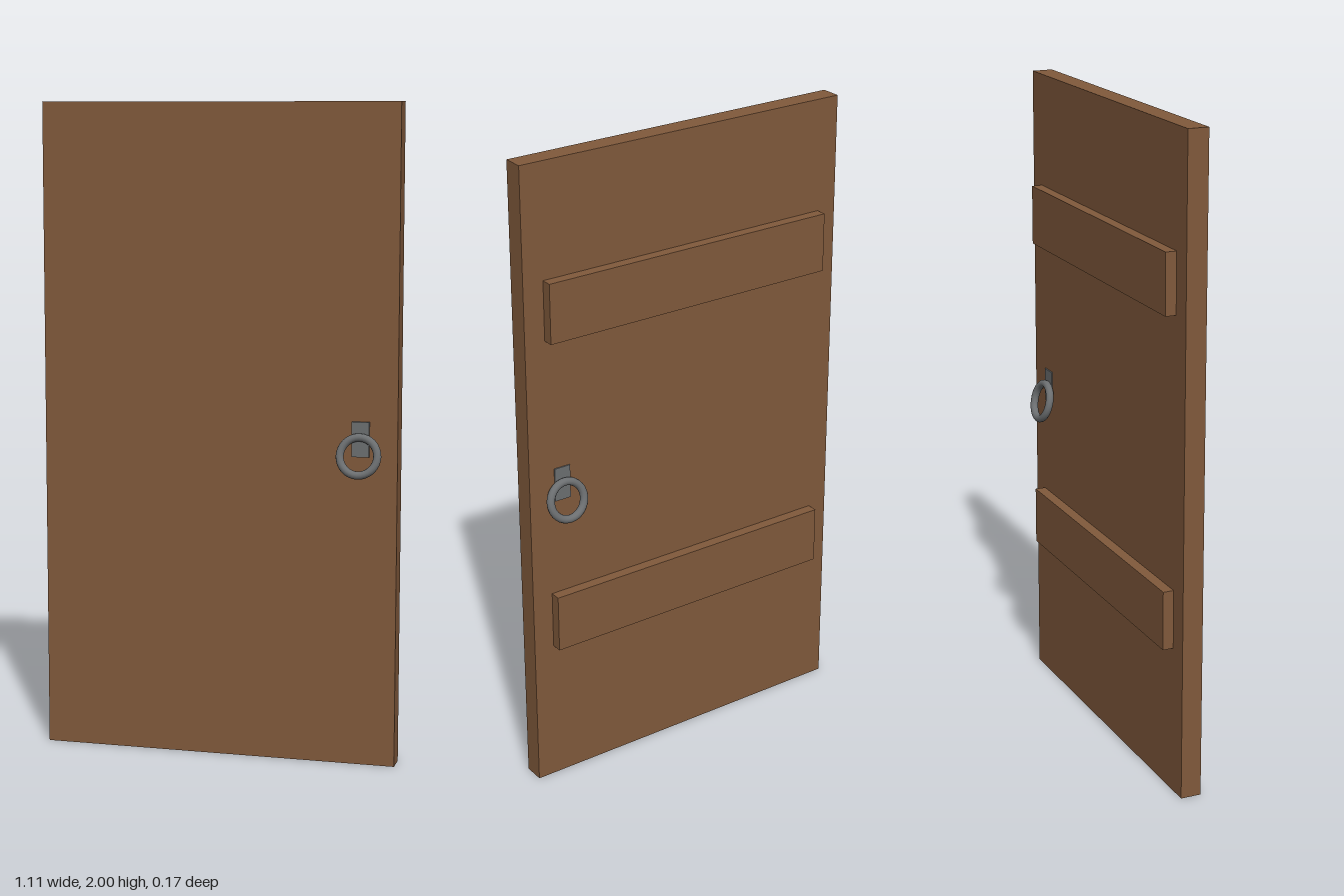
import * as THREE from 'three';

const wood = new THREE.MeshStandardMaterial({ name: 'brown wood', color: 0x80593b });
const iron = new THREE.MeshStandardMaterial({ name: 'grey iron', color: 0x6c6f71 });

// Box given by its minimum and maximum corners
function box(name, material, min, max) {
  const size = max.map((v, i) => v - min[i]);
  const mesh = new THREE.Mesh(new THREE.BoxGeometry(...size), material);
  mesh.position.set(...max.map((v, i) => (v + min[i]) / 2));
  mesh.name = name;
  return mesh;
}

export function createModel() {
  const door = new THREE.Group();
  door.name = 'door';

  const front = 0.029, back = -0.035;
  door.add(box('doorPanel', wood, [-0.553, 0, back], [0.553, 2, front]));

  // Horizontal battens on the back
  for (const [name, y0, y1] of [['lowerBatten', 0.459, 0.641], ['upperBatten', 1.466, 1.65]]) {
    door.add(box(name, wood, [-0.49, y0, -0.0685], [0.487, y1, back]));
  }

  // Ring pull on each side, hanging outward at the bottom
  for (const [side, s] of [['front', 1], ['back', -1]]) {
    const handle = new THREE.Group();
    handle.name = side + 'Handle';
    const z0 = s > 0 ? front : -0.039, z1 = s > 0 ? 0.039 : back;
    handle.add(box('handlePlate', iron, [0.415, 0.949, z0], [0.468, 1.055, z1]));

    const ring = new THREE.Mesh(new THREE.TorusGeometry(0.057, 0.0122, 12, 32), iron);
    ring.name = 'handleRing';
    ring.position.set(0.441, 0.955, s * 0.0615);
    ring.rotation.x = -s * 0.247;
    handle.add(ring);
    door.add(handle);
  }
  return door;
}
